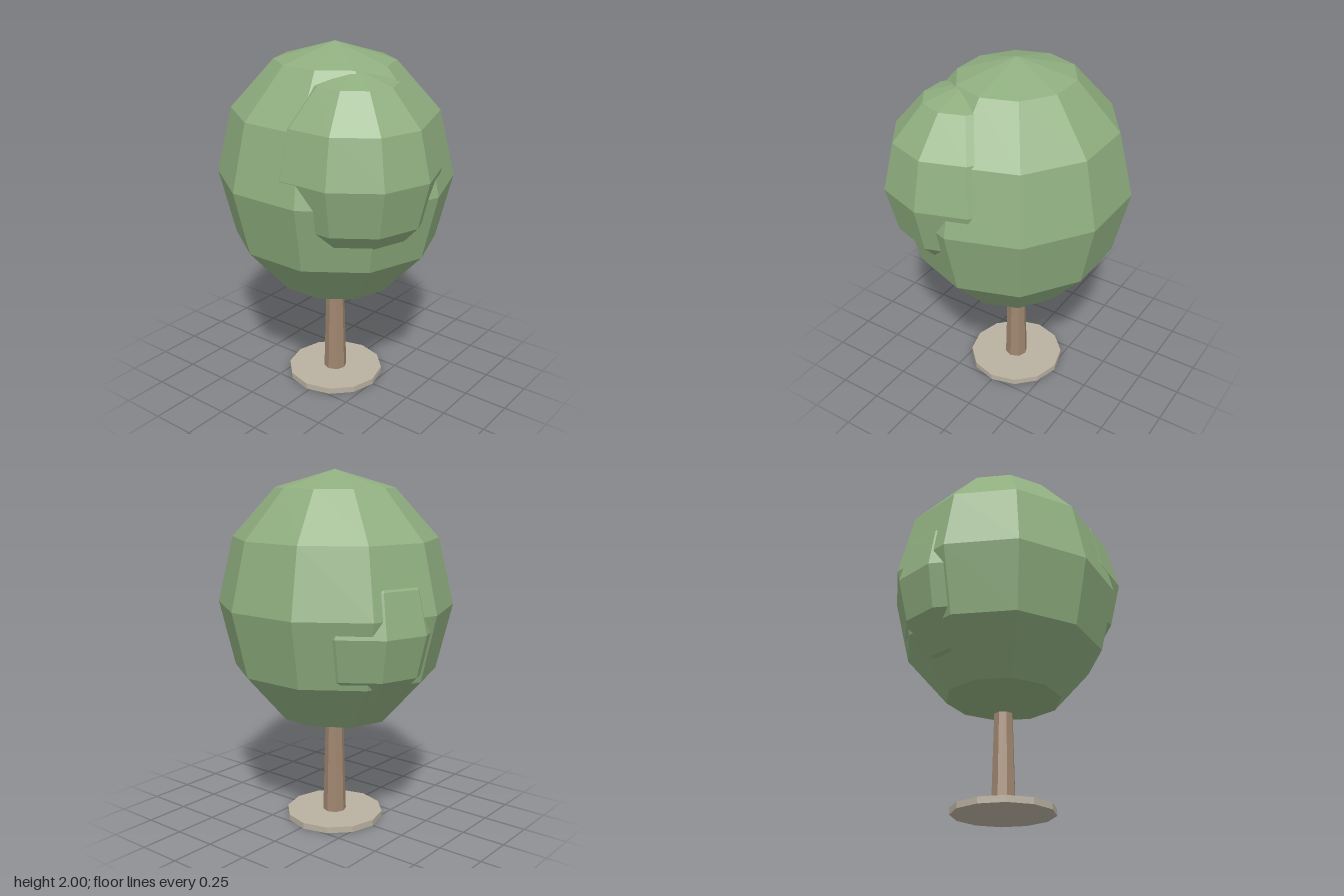
import * as THREE from 'three';

export function createModel() {
  const tree = new THREE.Group();
  tree.name = 'tree';

  const material = (name, color) => {
    const m = new THREE.MeshStandardMaterial({ color, flatShading: true });
    m.name = name;
    return m;
  };
  const leaf = material('leaf green', 0x8fae7f);
  const bark = material('bark brown', 0xa08770);
  const stone = material('pale stone', 0xb9b1a1);

  const add = (name, geometry, mat, x, y, z) => {
    const mesh = new THREE.Mesh(geometry, mat);
    mesh.name = name;
    mesh.position.set(x, y, z);
    tree.add(mesh);
    return mesh;
  };

  const axis = -0.02; // x of the trunk

  // Ground disc and tapering trunk
  add('base', new THREE.CylinderGeometry(0.28, 0.28, 0.035, 12), stone, axis, 0.0175, 0);
  add('trunk', new THREE.CylinderGeometry(0.05, 0.067, 0.62, 8), bark, axis, 0.345, 0);

  // Faceted foliage: one main crown with two smaller overlapping clumps
  const clump = (name, x, y, z, rx, ry, rz) =>
    add(name, new THREE.SphereGeometry(1, 10, 6).scale(rx, ry, rz), leaf, x, y, z);
  clump('crown', axis, 1.268, 0, 0.672, 0.732, 0.632);
  clump('frontLeftClump', 0.218, 1.392, 0.15, 0.47, 0.515, 0.447);
  clump('backRightClump', -0.27, 1.178, -0.09, 0.42, 0.46, 0.4);

  return tree;
}
